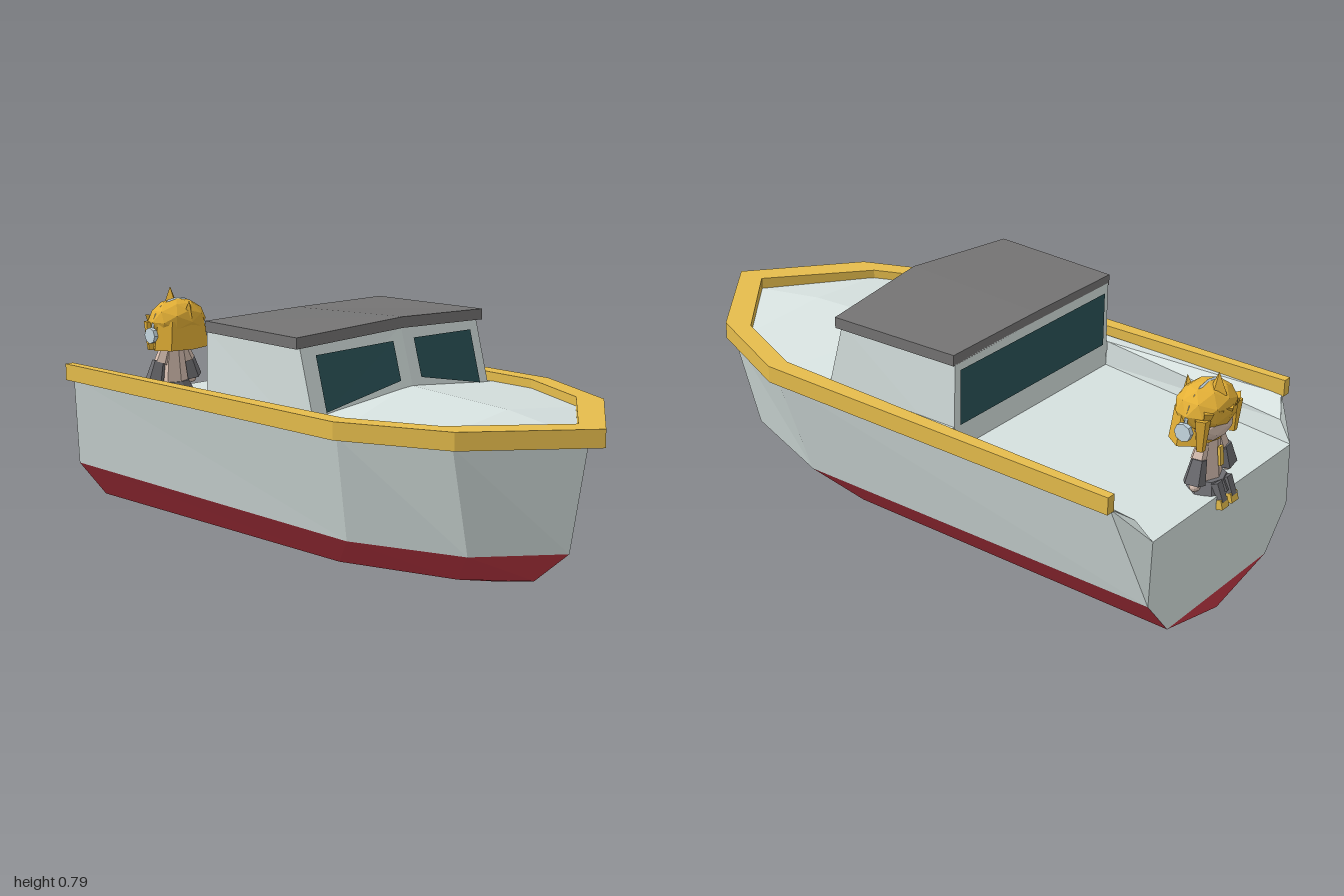
import * as THREE from 'three';

const mat = (name, color) =>
  Object.assign(new THREE.MeshStandardMaterial({ color, flatShading: true, side: THREE.DoubleSide }), { name });

// Fan-triangulated polygons, mirrored across x = 0
function faces(name, material, polys) {
  const out = [];
  const fan = (p) => { for (let i = 1; i < p.length - 1; i++) out.push(...p[0], ...p[i], ...p[i + 1]); };
  for (const p of polys) {
    fan(p);
    fan(p.map(([x, y, z]) => [-x, y, z]).reverse());
  }
  const g = new THREE.BufferGeometry();
  g.setAttribute('position', new THREE.Float32BufferAttribute(out, 3));
  g.computeVertexNormals();
  const m = new THREE.Mesh(g, material);
  m.name = name;
  return m;
}

function part(name, geometry, material, pos, rot = [0, 0, 0], scale = [1, 1, 1]) {
  const m = new THREE.Mesh(geometry, material);
  m.name = name;
  m.position.set(...pos);
  m.rotation.set(...rot);
  m.scale.set(...scale);
  return m;
}

export function createModel() {
  const boat = new THREE.Group();
  boat.name = 'boat';
  const hullGrey = mat('hullGrey', 0xd7e2e0), red = mat('bottomRed', 0xc03844);
  const gold = mat('railGold', 0xe6bd4c), roofGrey = mat('roofGrey', 0x757474);
  const glass = mat('windowGlass', 0x2b5358), hair = mat('hairGold', 0xe4b036);
  const skin = mat('skin', 0xd8c0b2), cloth = mat('clothGrey', 0x6e6e72);
  const metal = mat('headsetGrey', 0xc8dae4);

  // Hull stations, stern to bow: keel, chine, waterline, sheer
  const st = [
    [[0, 0, -0.98], [0.27, 0.06, -0.98], [0.378, 0.19, -0.98], [0.455, 0.51, -0.89]],
    [[0, 0.03, 0.18], [0.27, 0.06, 0.2], [0.365, 0.17, 0.33], [0.455, 0.51, 0.38]],
    [[0, 0.03, 0.5], [0.15, 0.06, 0.58], [0.235, 0.17, 0.695], [0.32, 0.51, 0.71]],
    [[0, 0.03, 0.62], [0, 0.06, 0.75], [0, 0.17, 0.88], [0, 0.51, 0.94]],
  ];
  const bottom = [], sides = [];
  for (let s = 0; s < 3; s++)
    for (let p = 0; p < 3; p++)
      (p < 2 ? bottom : sides).push([st[s][p], st[s][p + 1], st[s + 1][p + 1], st[s + 1][p]]);
  const [keel, chine, water, sheer] = st[0];
  const corner = [0.37, 0.4, -0.98], ledgeAft = [0.388, 0.46, -0.93];
  bottom.push([keel, [0, 0.06, -0.98], chine]);
  boat.add(faces('hullBottom', red, bottom), faces('hullSides', hullGrey, sides));
  boat.add(faces('transom', hullGrey, [
    [[0, 0.06, -0.98], [0, 0.4, -0.98], corner, water, chine],
    [water, corner, sheer],
    [corner, ledgeAft, sheer],
  ]));

  // Aft deck with steep inner walls and a ledge under the rail
  const deckFore = [0.385, 0.45, -0.28], ledgeFore = [0.39, 0.53, -0.28], railFore = [0.43, 0.53, -0.28];
  boat.add(faces('aftDeck', hullGrey, [[[0, 0.4, -0.98], [0, 0.45, -0.28], deckFore, corner]]));
  boat.add(faces('bulwarks', hullGrey, [
    [corner, deckFore, ledgeFore, ledgeAft],
    [ledgeAft, ledgeFore, railFore, [0.453, 0.51, -0.89]],
  ]));

  // Crowned foredeck with narrow side decks
  const crown = [0, 0.58, 0.23], mid = [0, 0.562, 0.635], knuckle = [0.43, 0.53, 0.38], shoulder = [0.31, 0.53, 0.66];
  boat.add(faces('foreDeck', hullGrey, [
    [crown, mid, shoulder, knuckle],
    [crown, knuckle, [0.43, 0.53, 0.2], [0.37, 0.53, 0.2]],
    [mid, [0, 0.52, 0.92], shoulder],
    [[0.37, 0.53, -0.28], [0.37, 0.53, 0.2], [0.43, 0.53, 0.2], railFore],
  ]));

  // Rail: a band along the sheer, open at the stern
  const outer = [[0.48, -0.9], [0.48, 0.39], [0.335, 0.73], [0, 1]];
  const inner = [[0.45, -0.9], [0.42, 0.37], [0.3, 0.65], [0, 0.9]];
  const flip = (a) => a.slice(0, 3).reverse().map(([x, z]) => [-x, z]);
  const loop = [...outer, ...flip(outer), ...[...inner, ...flip(inner)].reverse()];
  const railGeo = new THREE.ExtrudeGeometry(
    new THREE.Shape(loop.map(([x, z]) => new THREE.Vector2(x, -z))), { depth: 0.055, bevelEnabled: false });
  boat.add(part('rail', railGeo, gold, [0, 0.505, 0], [-Math.PI / 2, 0, 0]));

  // Cabin walls
  const bc = [0, 0.57, 0.25], bo = [0.39, 0.52, 0.215], to = [0.39, 0.74, 0.155], tc = [0, 0.76, 0.195];
  const aftLow = [0.387, 0.44, -0.28], aftHigh = [0.38, 0.738, -0.28];
  boat.add(faces('cabin', hullGrey, [
    [bc, bo, to, tc],
    [aftLow, aftHigh, to, bo, [0.39, 0.44, 0.2]],
    [[0, 0.44, -0.28], [0, 0.738, -0.28], aftHigh, aftLow],
  ]));

  // Windows: windscreen panes follow the raked, swept front
  const pane = (x, y) => {
    const u = x / 0.39;
    const low = 0.57 - 0.05 * u, high = 0.76 - 0.02 * u;
    const v = (y - low) / (high - low);
    return [x, y, 0.25 - 0.035 * u + v * (-0.055 - 0.005 * u) + 0.006];
  };
  boat.add(faces('windscreen', glass, [[pane(0.045, 0.6), pane(0.342, 0.54), pane(0.342, 0.708), pane(0.045, 0.72)]]));
  boat.add(faces('rearWindow', glass, [
    [[0, 0.53, -0.284], [0, 0.71, -0.284], [0.36, 0.71, -0.284], [0.36, 0.53, -0.284]],
  ]));

  // Roof slab, peaked at the front
  const top = [[0, 0.768, -0.28], [0, 0.79, 0.205], [0.41, 0.767, 0.165], [0.387, 0.765, -0.28]];
  const under = top.map(([x, y, z]) => [x, y - 0.035, z]);
  const roofFaces = [top, [...under].reverse()];
  for (let i = 1; i < 4; i++) {
    const j = (i + 1) % 4;
    roofFaces.push([under[i], under[j], top[j], top[i]]);
  }
  boat.add(faces('roof', roofGrey, roofFaces));

  // Seated figure on the transom, facing aft
  const figure = new THREE.Group();
  figure.name = 'seatedFigure';
  const ball = new THREE.IcosahedronGeometry(1, 1);
  const cone = (r0, r1, h, n = 6) => new THREE.CylinderGeometry(r0, r1, h, n);
  figure.add(
    part('hairCap', ball, hair, [0, 0.658, -0.9], [0, 0, 0], [0.11, 0.075, 0.085]),
    part('hairBack', cone(0.1, 0.118, 0.1, 8), hair, [0, 0.612, -0.88], [0, 0, 0], [1, 1, 0.6]),
    part('face', ball, skin, [0, 0.61, -0.918], [0, 0, 0], [0.085, 0.055, 0.056]),
    part('torso', cone(0.035, 0.058, 0.16), skin, [0, 0.485, -0.92], [0, 0, 0], [1, 1, 0.7]),
    part('tie', new THREE.BoxGeometry(0.018, 0.06, 0.009), gold, [0, 0.51, -0.958], [0.1, 0, 0]),
    part('skirt', cone(0.058, 0.08, 0.035, 8), cloth, [0, 0.42, -0.925], [0, 0, 0], [1, 1, 0.8]),
    part('topTuft', cone(0, 0.03, 0.065, 4), hair, [0, 0.738, -0.935]),
    part('backTuft', cone(0, 0.024, 0.06, 4), hair, [0, 0.702, -0.835], [0.15, 0, 0]),
    part('headband', new THREE.TorusGeometry(0.112, 0.006, 4, 10, Math.PI), metal, [0, 0.615, -0.9], [0, 0, 0], [1, 1.03, 1]),
  );
  // Fringe locks over the brow
  for (let i = -2; i <= 2; i++)
    figure.add(part('fringe', cone(0.028, 0, 0.07, 4), hair,
      [i * 0.038, 0.64, -0.967 + Math.abs(i) * 0.01], [-0.15, 0, i * 0.08], [1, 1, 0.6]));
  for (const s of [-1, 1]) {
    figure.add(
      part('sideLock', cone(0.025, 0.014, 0.1, 5), hair, [s * 0.085, 0.605, -0.94]),
      part('earphone', cone(0.028, 0.028, 0.016, 8), metal, [s * 0.115, 0.613, -0.9], [0, 0, Math.PI / 2]),
      part('upperArm', cone(0.02, 0.025, 0.05, 5), skin, [s * 0.052, 0.53, -0.92], [0, 0, s * 0.4]),
      part('sleeve', cone(0.024, 0.035, 0.075, 5), cloth, [s * 0.075, 0.478, -0.925], [0, 0, s * 0.28]),
      part('hand', ball, skin, [s * 0.086, 0.435, -0.93], [0, 0, 0], [0.017, 0.017, 0.017]),
      part('leg', cone(0.022, 0.02, 0.06, 5), cloth, [s * 0.026, 0.405, -0.972], [0.4, 0, 0]),
      part('shoe', new THREE.BoxGeometry(0.036, 0.03, 0.032), gold, [s * 0.026, 0.373, -0.983], [0.25, 0, 0]),
    );
  }
  boat.add(figure);
  return boat;
}
